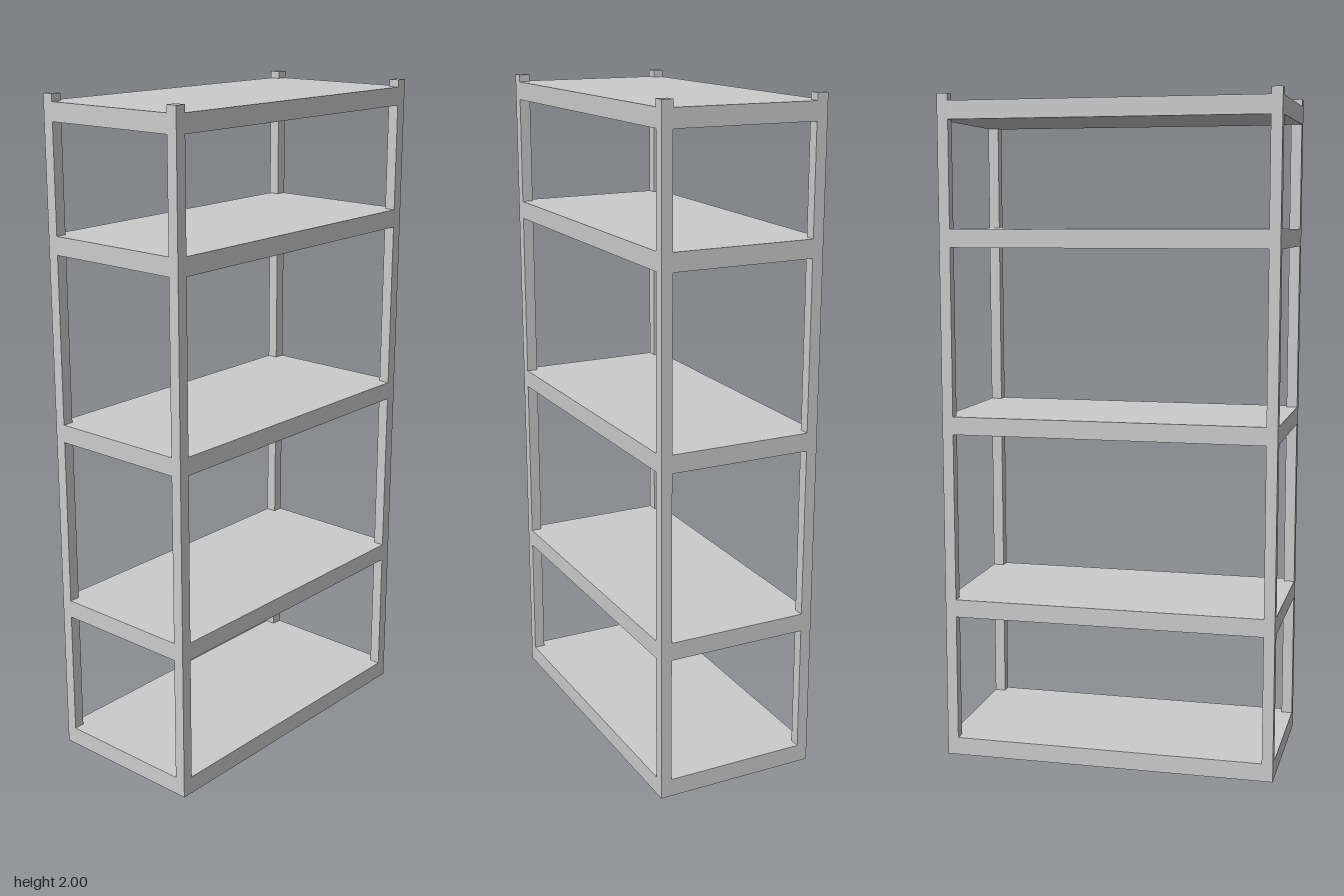
import * as THREE from 'three';

const HALF_X = 0.248, HALF_Z = 0.504, HEIGHT = 2;
const POST = 0.033, SHELF = 0.054;
const SHELF_BOTTOMS = [0, 0.437, 0.999, 1.555, 1.925];

export function createModel() {
  const model = new THREE.Group();
  const material = new THREE.MeshStandardMaterial({ color: 0xcccccc, flatShading: true });

  // Square corner posts, rising slightly above the top shelf
  const postGeometry = new THREE.BoxGeometry(POST, HEIGHT, POST);
  for (const [z, end] of [[1, 'front'], [-1, 'back']]) {
    for (const [x, side] of [[1, 'Left'], [-1, 'Right']]) {
      const post = new THREE.Mesh(postGeometry, material);
      post.name = `${end}${side}Post`;
      post.position.set(x * (HALF_X - POST / 2), HEIGHT / 2, z * (HALF_Z - POST / 2));
      model.add(post);
    }
  }

  // Solid shelf slab with corners notched around the posts
  const ix = HALF_X - POST, iz = HALF_Z - POST;
  const outline = new THREE.Shape([
    [ix, -HALF_Z], [ix, -iz], [HALF_X, -iz],
    [HALF_X, iz], [ix, iz], [ix, HALF_Z],
    [-ix, HALF_Z], [-ix, iz], [-HALF_X, iz],
    [-HALF_X, -iz], [-ix, -iz], [-ix, -HALF_Z],
  ].map(([x, y]) => new THREE.Vector2(x, y)));
  const shelfGeometry = new THREE.ExtrudeGeometry(outline, { depth: SHELF, bevelEnabled: false });
  shelfGeometry.rotateX(-Math.PI / 2);

  SHELF_BOTTOMS.forEach((y, i) => {
    const shelf = new THREE.Mesh(shelfGeometry, material);
    shelf.name = `shelf${i + 1}`;
    shelf.position.y = y;
    model.add(shelf);
  });

  return model;
}
